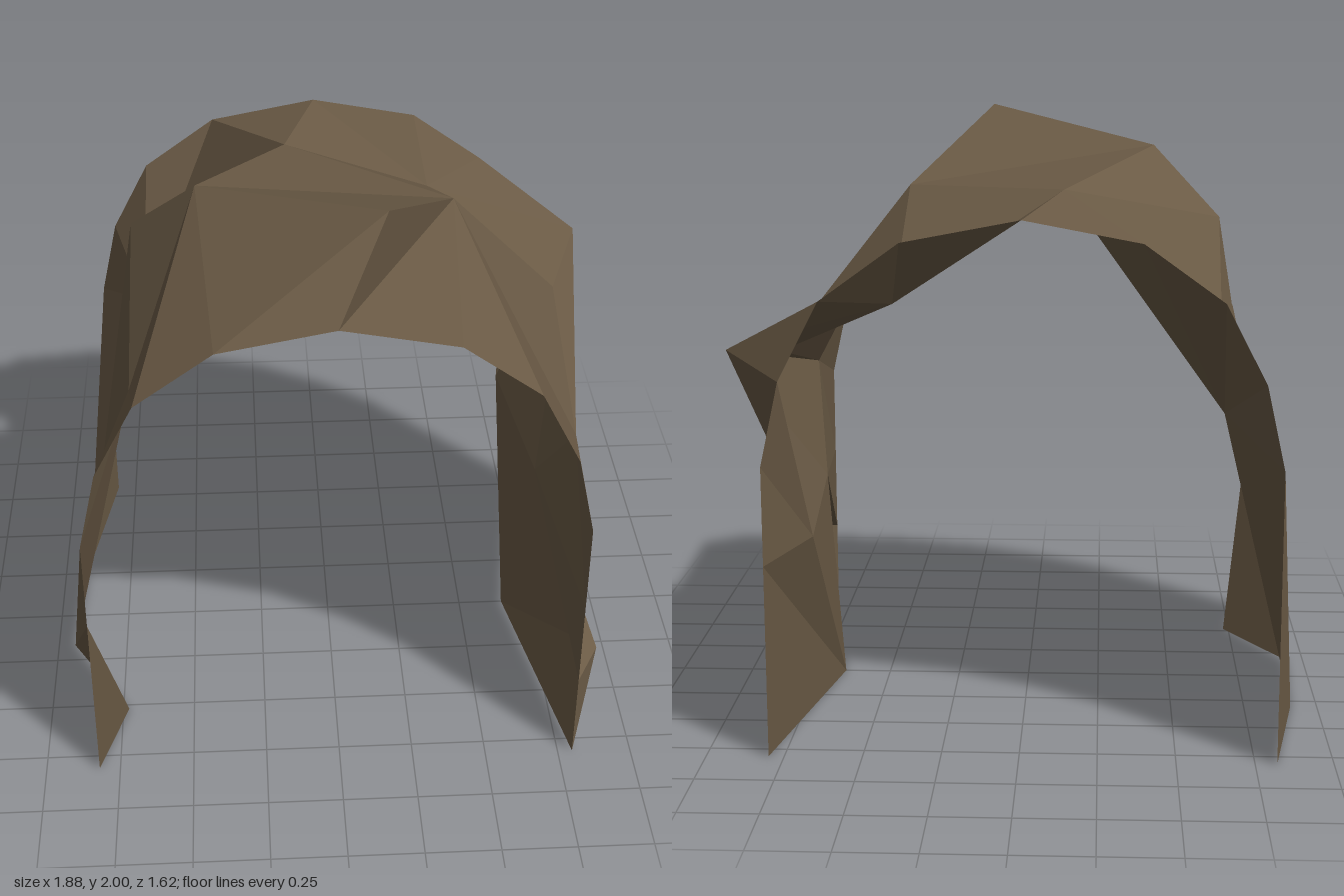
import * as THREE from 'three';

// Matching arch profile of both tunnel mouths, from the foot at -x over the crown to the foot at +x
const half = [[0.81, 0], [0.81, 0.32], [0.81, 0.63], [0.81, 0.95], [0.75, 1.22], [0.62, 1.47], [0.37, 1.65]];
const rim = [
  ...half.map(([x, y]) => [-x, y]),
  [0, 1.72],
  ...half.slice().reverse(),
];

const points = {};
rim.forEach(([x, y], i) => {
  points['F' + i] = [x - 0.01, y, 0.81];
  points['B' + i] = [x - 0.01, y, -0.81];
});

// Irregular rock points between the two mouths
Object.assign(points, {
  // wall at -x: three on the ground, two on the face
  footA: [-0.73, 0, 0.52], footB: [-0.94, 0, 0.17], footC: [-0.91, 0, -0.3],
  dent: [-0.66, 1.3, 0.45], hollow: [-0.65, 1.07, -0.51],
  // roof
  shoulder: [-0.65, 1.65, -0.02], ridge: [-0.43, 1.88, 0.17], saddle: [-0.13, 1.77, -0.34],
  peak: [0.15, 2.0, 0.6], slope: [0.41, 1.75, 0.05], dip: [0.4, 1.44, -0.65],
  // wall at +x
  ledge: [0.8, 1.06, 0.43], brow: [0.82, 1.22, -0.27], spur: [0.94, 1.28, -0.59],
  mid: [0.73, 0.7, 0.12], knob: [0.88, 0.35, 0.68], recess: [0.68, 0.66, -0.56],
  footD: [0.66, 0, 0],
});

// Each fan: a hub point followed by the points around it
const parts = {
  leftmostWall: [
    'footA F0 F1 F2 footB',
    'footB F2 F3 dent footC',
    'dent F3 F4 F5 ridge shoulder footC',
    'footC shoulder hollow B3 B2 B1 B0',
    'hollow shoulder saddle B6 B5 B4 B3',
  ],
  roof: [
    'ridge F5 F6 peak slope saddle shoulder',
    'saddle B6 B7 dip slope',
    'peak F6 F7 slope',
    'slope F7 F8 F9 ledge brow dip',
    'dip B7 B8 B9 spur brow',
  ],
  rightmostWall: [
    'ledge F9 F10 F11 F12 mid spur brow',
    'mid F12 F13 knob footD recess spur',
    'knob F13 F14 footD',
    'spur B9 B10 recess',
    'recess B10 B11 B12 footD',
    'footD B12 B13 B14',
  ],
};

// Turns fans into triangles that all face away from the tunnel axis
function fanGeometry(fans) {
  const pos = [];
  for (const fan of fans) {
    const [hub, ...ring] = fan.split(' ').map((n) => new THREE.Vector3(...points[n]));
    for (let i = 0; i < ring.length - 1; i++) {
      const tri = new THREE.Triangle(hub, ring[i], ring[i + 1]);
      const out = tri.getMidpoint(new THREE.Vector3());
      out.set(out.x, out.y - Math.min(out.y, 0.8), 0);
      const flip = tri.getNormal(new THREE.Vector3()).dot(out) < 0;
      const order = flip ? [tri.a, tri.c, tri.b] : [tri.a, tri.b, tri.c];
      order.forEach((v) => pos.push(v.x, v.y, v.z));
    }
  }
  const geo = new THREE.BufferGeometry();
  geo.setAttribute('position', new THREE.Float32BufferAttribute(pos, 3));
  geo.computeVertexNormals();
  return geo;
}

export function createModel() {
  const group = new THREE.Group();
  group.name = 'rockTunnel';
  const rock = new THREE.MeshStandardMaterial({ color: 0x6a5a45, flatShading: true, side: THREE.DoubleSide });
  for (const [name, fans] of Object.entries(parts)) {
    const mesh = new THREE.Mesh(fanGeometry(fans), rock);
    mesh.name = name;
    group.add(mesh);
  }
  return group;
}
